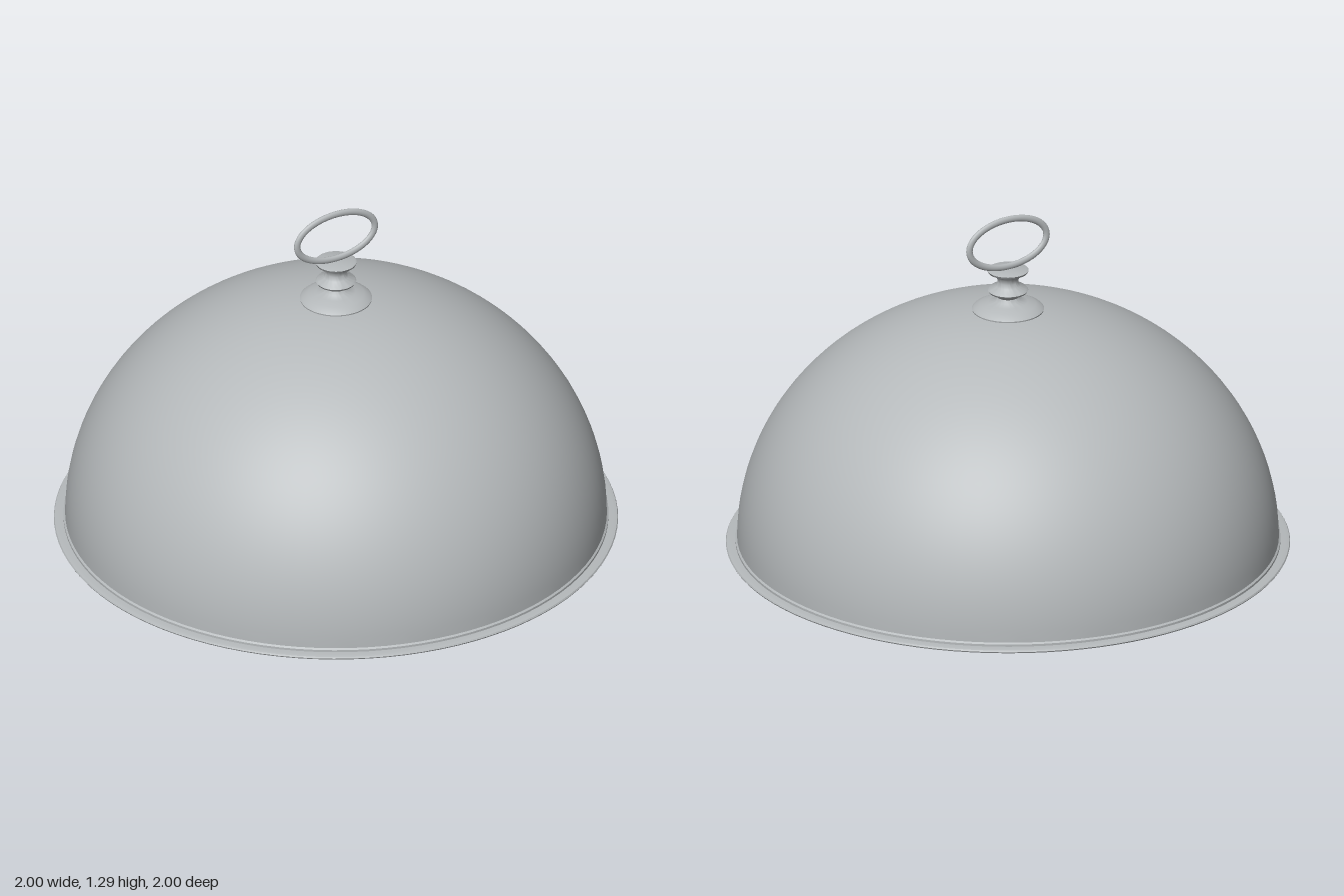
import * as THREE from 'three';
import { toCreasedNormals } from 'three/addons/utils/BufferGeometryUtils.js';

export function createModel() {
  const group = new THREE.Group();
  const metal = new THREE.MeshStandardMaterial({ color: 0xb5b9bb });
  metal.name = 'silver grey';

  const add = (name, geometry) => {
    const mesh = new THREE.Mesh(geometry, metal);
    mesh.name = name;
    group.add(mesh);
    return mesh;
  };

  // Turned parts: profile runs from bottom to top as [radius, height]
  const turn = (name, profile, segments, crease = 0.5) => {
    const points = profile.map(([r, y]) => new THREE.Vector2(r, y));
    return add(name, toCreasedNormals(new THREE.LatheGeometry(points, segments), crease));
  };

  // Shallow serving tray with a thin flat rim
  turn('tray', [
    [0, 0], [0.84, 0], [0.88, 0.005], [0.91, 0.015], [0.93, 0.03],
    [0.985, 0.032], [0.997, 0.035], [1, 0.04], [0.997, 0.045], [0.985, 0.048], [0.93, 0.045], [0, 0.045],
  ], 96, 0.35);

  // Domed cover, with a tiny bead where it meets the tray
  const dome = [[0.966, 0.045], [0.966, 0.055], [0.96, 0.06]];
  const steps = 32;
  for (let i = 1; i <= steps; i++) {
    const a = (i / steps) * Math.PI / 2;
    dome.push([i === steps ? 0 : 0.96 * Math.cos(a), 0.06 + 0.883 * Math.sin(a)]);
  }
  turn('domeCover', dome, 96);

  // Turned finial below the handle
  turn('finial', [
    [0.125, 0.925], [0.128, 0.94], [0.12, 0.947], [0.1, 0.957], [0.07, 0.965],
    [0.045, 0.972], [0.038, 0.985], [0.048, 0.995], [0.068, 1.004], [0.072, 1.011],
    [0.066, 1.018], [0.044, 1.028], [0.037, 1.043], [0.039, 1.058], [0.05, 1.07],
    [0.071, 1.08], [0.073, 1.087], [0.066, 1.09], [0, 1.09],
  ], 48, 0.9);

  // Flattened oval ring handle
  class Oval extends THREE.Curve {
    getPoint(t, target = new THREE.Vector3()) {
      const a = t * Math.PI * 2;
      return target.set(0.158 * Math.cos(a), 0.09 * Math.sin(a), 0);
    }
  }
  const ring = add('ringHandle', new THREE.TubeGeometry(new Oval(), 64, 0.0125, 12, true));
  ring.scale.z = 0.7;
  ring.position.y = 1.19;

  return group;
}
